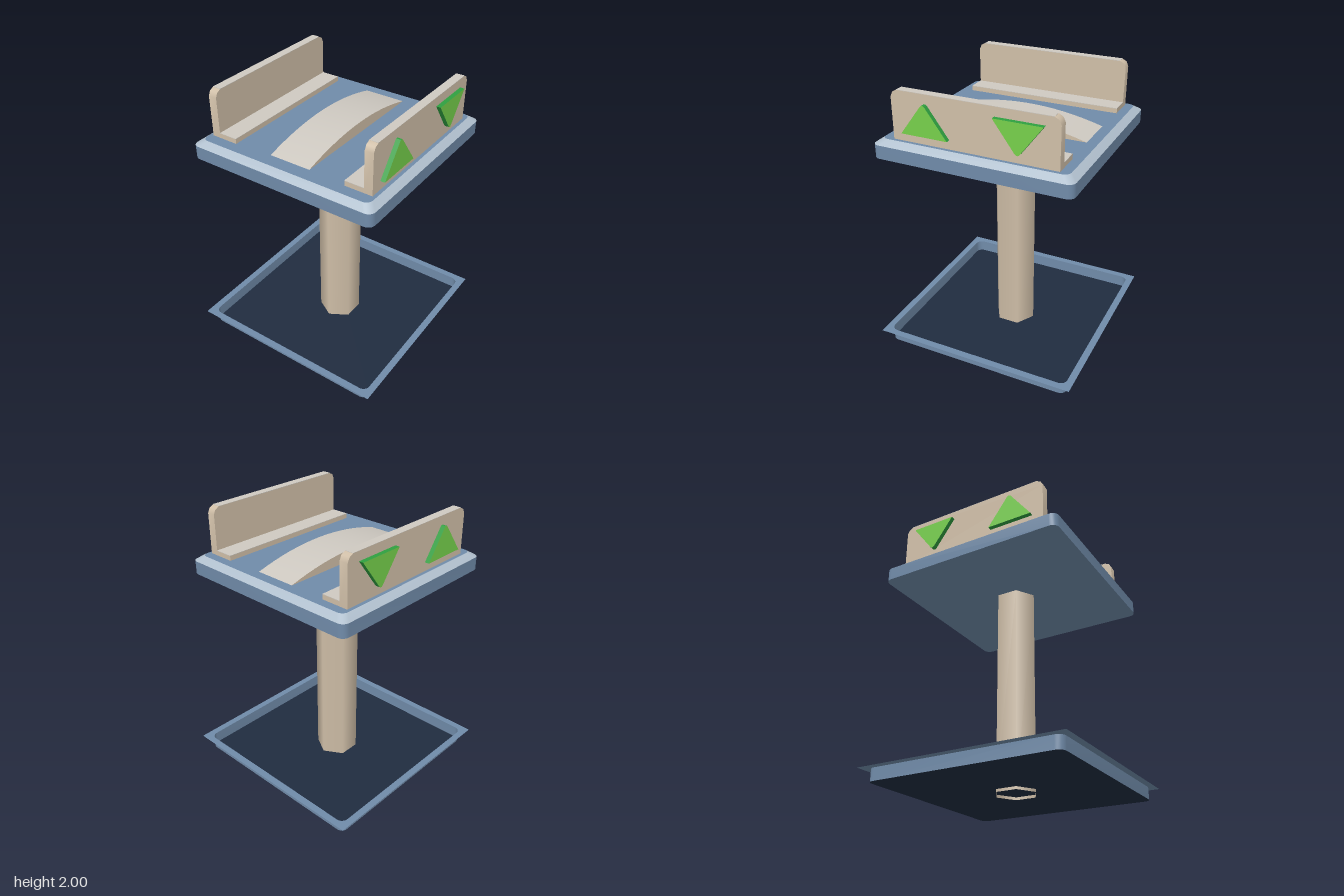
import * as THREE from 'three';
import { toCreasedNormals } from 'three/addons/utils/BufferGeometryUtils.js';

const mat = (name, color, side = THREE.FrontSide) => {
  const m = new THREE.MeshStandardMaterial({ color, side });
  m.name = name;
  return m;
};

// Rounded square outline with half-width h and corner radius r
function roundedSquare(h, r) {
  const s = new THREE.Shape();
  s.absarc(h - r, h - r, r, 0, Math.PI / 2);
  s.absarc(r - h, h - r, r, Math.PI / 2, Math.PI);
  s.absarc(r - h, r - h, r, Math.PI, Math.PI * 1.5);
  s.absarc(h - r, r - h, r, Math.PI * 1.5, Math.PI * 2);
  s.closePath();
  return s;
}

// Band of faces between two rounded squares, each given as [half, radius, y]
function band(lower, upper) {
  const ring = ([h, r, y]) => roundedSquare(h, r).extractPoints(3).shape.map((p) => [p.x, y, -p.y]);
  const a = ring(lower), b = ring(upper), pos = [];
  for (let i = 0; i < a.length; i++) {
    const j = (i + 1) % a.length;
    pos.push(...a[i], ...a[j], ...b[j], ...a[i], ...b[j], ...b[i]);
  }
  const g = new THREE.BufferGeometry();
  g.setAttribute('position', new THREE.Float32BufferAttribute(pos, 3));
  g.computeVertexNormals();
  return toCreasedNormals(g, 0.6);
}

// Flat horizontal sheet facing up
const sheet = (shape, y) => new THREE.ShapeGeometry(shape, 3).rotateX(-Math.PI / 2).translate(0, y, 0);

// Side outline given as (z, y), extruded along x from x0
function sideExtrude(points, x0, depth) {
  const shape = new THREE.Shape(points.map(([z, y]) => new THREE.Vector2(-z, y)));
  return new THREE.ExtrudeGeometry(shape, { depth, bevelEnabled: false })
    .rotateY(Math.PI / 2).translate(x0, 0, 0);
}

export function createModel() {
  const root = new THREE.Group();
  root.name = 'pedestalStand';
  const blue = mat('slate blue', 0x708ba9);
  const blueSheet = mat('slate blue sheet', 0x708ba9, THREE.DoubleSide);
  const edge = mat('pale blue edge', 0xb0bfcd);
  const navy = mat('dark navy', 0x202c40, THREE.DoubleSide);
  const beige = mat('beige', 0xd0bfa8);
  const beigeSheet = mat('beige sheet', 0xd0bfa8, THREE.DoubleSide);
  const pale = mat('pale stone', 0xcec9c1);
  const green = mat('bright green', 0x76d04b);
  const darkGreen = mat('dark green', 0x2f9f40);

  const add = (name, geometry, material, parent = root) => {
    const m = new THREE.Mesh(geometry, material);
    m.name = name;
    parent.add(m);
    return m;
  };

  // Base tray: floor, thin wall and square flange
  add('trayFloor', sheet(roundedSquare(0.705, 0.05), 0.02), navy);
  add('trayWall', band([0.705, 0.05, 0.02], [0.705, 0.05, 0.11]), blueSheet);
  const flange = new THREE.Shape([[-1, -1], [1, -1], [1, 1], [-1, 1]]
    .map(([x, y]) => new THREE.Vector2(x * 0.755, y * 0.755)));
  flange.holes.push(roundedSquare(0.705, 0.05));
  add('trayFlange', sheet(flange, 0.11), blueSheet);

  // Hexagonal column, open at both ends
  add('column', new THREE.CylinderGeometry(0.155, 0.155, 1.515, 6, 1, true).translate(0, 0.7575, 0), beigeSheet);

  // Platform with a light sloped border
  const plate = new THREE.ExtrudeGeometry(roundedSquare(0.705, 0.05),
    { depth: 0.095, bevelEnabled: false, curveSegments: 3 }).rotateX(-Math.PI / 2).translate(0, 1.53, 0);
  add('platform', toCreasedNormals(plate, 0.6), blue);
  add('platformBevel', band([0.705, 0.05, 1.625], [0.655, 0.045, 1.66]), edge);
  add('platformTop', sheet(roundedSquare(0.655, 0.045), 1.66), blue);

  // Arched centre hump
  const arc = [];
  for (let i = 0; i <= 16; i++) {
    const t = 1 - i / 8;
    arc.push([-0.012 + 0.567 * t, 1.66 + 0.08 * (1 - t * t)]);
  }
  add('centreHump', toCreasedNormals(sideExtrude(arc, -0.154, 0.308), 0.6), [beige, pale]);

  // Side rails with lips and raised triangles
  const uprightOutline = [
    [0.575, 1.66], [0.575, 1.95], [0.56, 1.982], [0.53, 1.998],
    [-0.545, 1.998], [-0.575, 1.982], [-0.59, 1.95], [-0.59, 1.66],
  ];
  const triUp = [[0.493, 1.723], [0.159, 1.723], [0.308, 1.926], [0.318, 1.934], [0.33, 1.934], [0.34, 1.926]];
  const triDown = triUp.map(([z, y]) => [-z, 3.657 - y]);
  for (const [side, s] of [['left', 1], ['right', -1]]) {
    const rail = new THREE.Group();
    rail.name = side + 'Rail';
    root.add(rail);
    const box = (w, h, d, x, y) => new THREE.BoxGeometry(w, h, d).translate(s * x, y, -0.0075);
    const span = (points, x, w) => sideExtrude(points, s > 0 ? x : -x - w, w);
    add('upright', toCreasedNormals(span(uprightOutline, 0.568, 0.062), 0.75), beige, rail);
    add('uprightTop', box(0.062, 0.004, 1.075, 0.599, 1.998), pale, rail);
    add('lip', box(0.138, 0.033, 1.165, 0.499, 1.6765), beige, rail);
    add('lipTop', box(0.138, 0.004, 1.165, 0.499, 1.695), pale, rail);
    add('triangleUp', span(triUp, 0.63, 0.032), [green, darkGreen], rail);
    add('triangleDown', span(triDown, 0.63, 0.032), [green, darkGreen], rail);
  }
  return root;
}
